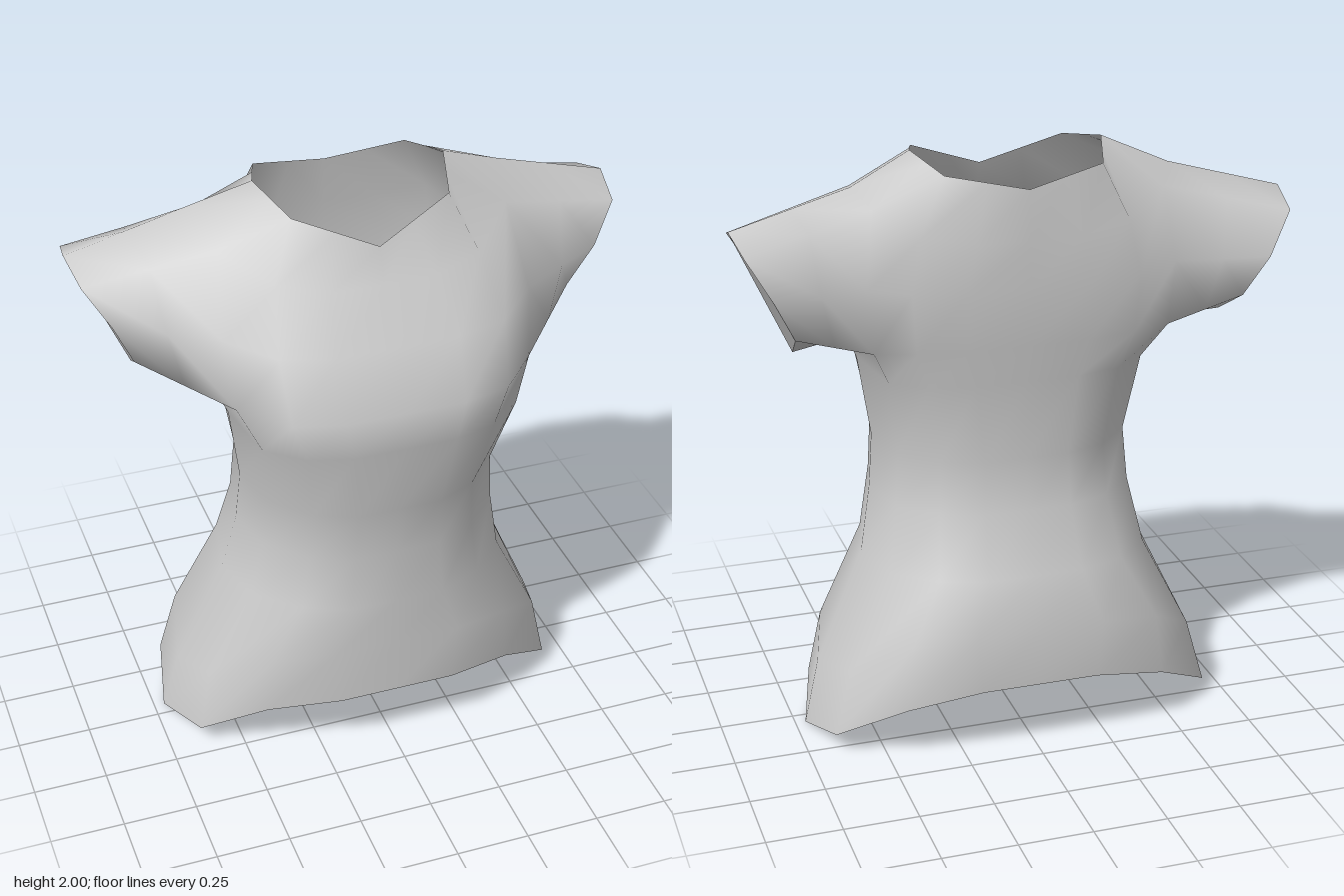
import * as THREE from 'three';

const material = new THREE.MeshStandardMaterial({ color: 0xcccccc, side: THREE.DoubleSide });

// Half outline of the body: front centre, round the +x side, to back centre
const roundOutline = [[0, 1], [0.33, 1], [0.64, 0.83], [0.91, 0.48], [1, 0], [0.91, -0.55], [0.65, -0.87], [0.33, -1], [0, -1]];
// The chest is squarer at front and back
const chestOutline = roundOutline.map(([u, v]) => [u ** 0.9, Math.sign(v) * Math.abs(v) ** 0.6]);

// Half ring: height, half width, front z, back z; the sides rise by `rise` and shift by `lean` in z
const ring = (outline, y, w, front, back, rise = 0, lean = 0) => outline.map(([u, v]) => [
  u * w,
  y + rise * u ** 4,
  (front + back) / 2 + v * (front - back) / 2 + lean * u ** 12,
]);

// Curved hem, hanging lowest at the sides
const hem = [[0, 0.245, 0.42], [0.2, 0.245, 0.42], [0.44, 0.2, 0.33], [0.645, 0.07, 0.2], [0.715, 0, -0.05],
  [0.66, 0.07, -0.29], [0.45, 0.2, -0.43], [0.2, 0.25, -0.472], [0, 0.25, -0.472]];

// Eight-sided neckline; each straight edge is split in the middle
const neckCorners = [[0, 1.86, 0.215], [0.26, 1.96, 0.13], [0.32, 2, -0.08], [0.26, 1.96, -0.27], [0, 1.91, -0.325]];
const neckline = neckCorners.flatMap((p, i) => {
  const next = neckCorners[i + 1];
  return next ? [p, p.map((v, a) => (v + next[a]) / 2)] : [p];
});

const halfRings = [
  hem,
  ring(roundOutline, 0.45, 0.66, 0.415, -0.47, -0.23),
  ring(roundOutline, 0.62, 0.49, 0.41, -0.41, -0.02),
  ring(roundOutline, 0.82, 0.447, 0.405, -0.325),
  ring(roundOutline, 1.0, 0.432, 0.42, -0.31),
  ring(chestOutline, 1.27, 0.47, 0.475, -0.315),
  ring(chestOutline, 1.4, 0.54, 0.472, -0.342, 0, -0.14), // armpit
  ring(chestOutline, 1.59, 0.56, 0.385, -0.342, 0.035, -0.13), // middle of the armhole
  ring(roundOutline, 1.745, 0.53, 0.255, -0.335, 0.167, -0.1), // shoulder
  neckline,
];

// Cuff octagon of the +x sleeve, from the top over the front
const cuff = [[0.92, 1.805, -0.15], [0.9, 1.76, -0.005], [0.82, 1.63, 0.045], [0.75, 1.47, 0],
  [0.73, 1.39, -0.14], [0.75, 1.48, -0.29], [0.82, 1.62, -0.34], [0.9, 1.76, -0.3]];

const COLS = 16;
const ARM_ROW = 6; // the armhole spans two rows from here
const holeLoop = [[2, 4], [2, 3], [1, 3], [0, 3], [0, 4], [0, 5], [1, 5], [2, 5]]; // row, column

const mirror = ([x, y, z]) => [-x, y, z];

function buildGeometry(points, index) {
  const g = new THREE.BufferGeometry();
  g.setAttribute('position', new THREE.Float32BufferAttribute(points.flat(), 3));
  g.setIndex(index);
  g.computeVertexNormals();
  return g;
}

function shirtGeometry() {
  const points = [];
  const index = [];
  const quad = (a, b, c, d) => index.push(a, b, c, a, c, d);

  // Body, leaving a two by two opening at each arm
  for (const half of halfRings) {
    for (let i = 0; i < COLS; i++) points.push(i <= 8 ? half[i] : mirror(half[COLS - i]));
  }
  for (let r = 0; r < halfRings.length - 1; r++) {
    for (let i = 0; i < COLS; i++) {
      const atArm = [3, 4, 11, 12].includes(i) && (r === ARM_ROW || r === ARM_ROW + 1);
      if (atArm) continue;
      const j = (i + 1) % COLS;
      quad(r * COLS + i, r * COLS + j, (r + 1) * COLS + j, (r + 1) * COLS + i);
    }
  }

  // Sleeves, continuing from the armhole edges to the cuffs
  for (const side of [1, -1]) {
    let loop = holeLoop.map(([r, c]) => (ARM_ROW + r) * COLS + (side > 0 ? c : COLS - c));
    const start = loop.map((k) => points[k]);
    for (const t of [0.5, 1]) {
      const next = cuff.map((p, k) => {
        const end = side > 0 ? p : mirror(p);
        return points.push(end.map((v, a) => THREE.MathUtils.lerp(start[k][a], v, t))) - 1;
      });
      for (let k = 0; k < 8; k++) {
        const n = (k + 1) % 8;
        if (side > 0) quad(loop[k], loop[n], next[n], next[k]);
        else quad(loop[n], loop[k], next[k], next[n]);
      }
      loop = next;
    }
  }
  return buildGeometry(points, index);
}

// Flat panel closing a sleeve end
function cuffGeometry(side) {
  const points = side > 0 ? cuff : cuff.map(mirror).reverse();
  const index = [];
  for (let k = 1; k < 7; k++) index.push(0, k, k + 1);
  return buildGeometry(points, index);
}

export function createModel() {
  const group = new THREE.Group();
  group.name = 'shirt';
  const add = (name, geometry) => {
    const mesh = new THREE.Mesh(geometry, material);
    mesh.name = name;
    group.add(mesh);
  };
  add('bodyAndSleeves', shirtGeometry());
  add('leftSleeveEnd', cuffGeometry(1));
  add('rightSleeveEnd', cuffGeometry(-1));
  return group;
}
